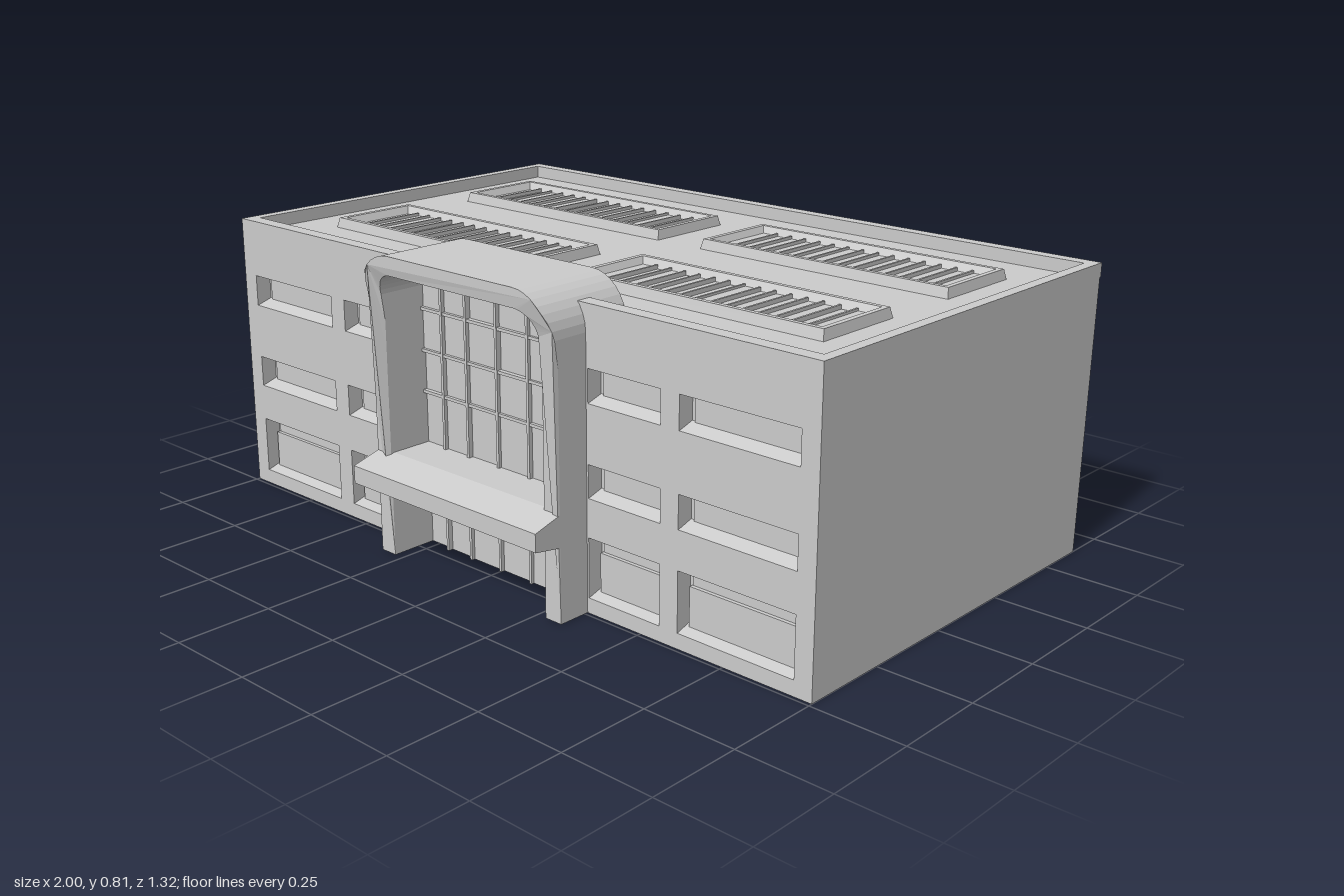
import * as THREE from 'three';

const grey = new THREE.MeshStandardMaterial({ color: 0xcccccc, flatShading: true });

function mesh(name, geometry, parent) {
  const m = new THREE.Mesh(geometry, grey);
  m.name = name;
  parent.add(m);
  return m;
}

// Box given by its limits on each axis
function box(name, x0, x1, y0, y1, z0, z1, parent) {
  const g = new THREE.BoxGeometry(x1 - x0, y1 - y0, z1 - z0);
  g.translate((x0 + x1) / 2, (y0 + y1) / 2, (z0 + z1) / 2);
  return mesh(name, g, parent);
}

function rect(x0, x1, y0, y1, Type = THREE.Shape) {
  return new Type([[x0, y0], [x1, y0], [x1, y1], [x0, y1]].map(p => new THREE.Vector2(...p)));
}

function extrude(shape, depth, z = 0) {
  const g = new THREE.ExtrudeGeometry(shape, { depth, bevelEnabled: false, curveSegments: 8 });
  return g.translate(0, 0, z);
}

// Extrudes a (z, y) profile along x
function alongX(points, x0, x1) {
  const s = new THREE.Shape(points.map(([z, y]) => new THREE.Vector2(-z, y)));
  return extrude(s, x1 - x0).rotateY(Math.PI / 2).translate(x0, 0, 0);
}

// Outline of the entrance arch: straight legs in short steps, rounded top corners
function archPoints(w, top, r, bottom) {
  const right = [];
  for (let i = 0; i <= 10; i++) right.push([w, bottom + (top - r - bottom) * i / 10]);
  for (let i = 1; i <= 8; i++) {
    const a = i / 8 * Math.PI / 2;
    right.push([w - r + r * Math.cos(a), top - r + r * Math.sin(a)]);
  }
  const left = right.map(([x, y]) => [-x, y]).reverse();
  return [...right, ...left].map(p => new THREE.Vector2(...p));
}

// Rectangular ring with stepped, sloping sides; rings are [xHalf, zHalf, y]
function ringLoft(rings) {
  const pos = [], index = [];
  for (const [x, z, y] of rings) pos.push(-x, y, z, x, y, z, x, y, -z, -x, y, -z);
  for (let i = 0; i < rings.length - 1; i++) {
    for (let j = 0; j < 4; j++) {
      const a = i * 4 + j, b = i * 4 + (j + 1) % 4;
      index.push(a, b, b + 4, a, b + 4, a + 4);
    }
  }
  const g = new THREE.BufferGeometry();
  g.setAttribute('position', new THREE.Float32BufferAttribute(pos, 3));
  g.setIndex(index);
  const flat = g.toNonIndexed();
  flat.computeVertexNormals();
  return flat;
}

export function createModel() {
  const model = new THREE.Group();
  let seed = 7;
  const rand = () => (seed = (seed * 16807) % 2147483647) / 2147483647;

  // Main block, its back wall leaning out slightly towards the top
  const body = box('mainBlock', -1, 1, 0, 0.735, -0.655, 0.445, model);
  const bp = body.geometry.attributes.position;
  for (let i = 0; i < bp.count; i++) {
    if (bp.getZ(i) < 0 && bp.getY(i) < 0.1) bp.setZ(i, -0.637);
  }
  body.geometry.computeVertexNormals();

  // Parapet around the roof
  const parapet = rect(-1, 1, -0.49, 0.66);
  parapet.holes.push(rect(-0.97, 0.97, -0.45, 0.625, THREE.Path));
  mesh('parapet', extrude(parapet, 0.036).rotateX(-Math.PI / 2).translate(0, 0.734, 0), model);

  // Front wings with three rows of recessed windows
  const columns = [[0.335, 0.56], [0.615, 0.95]];
  const rows = [[0.04, 0.195], [0.295, 0.38], [0.53, 0.615]];
  for (const side of [-1, 1]) {
    const span = (a, b) => side > 0 ? [a, b] : [-b, -a];
    const wing = new THREE.Group();
    wing.name = side > 0 ? 'leftWing' : 'rightWing';
    model.add(wing);
    const wall = rect(...span(0.3, 1), 0, 0.735);
    for (const c of columns) {
      const [x0, x1] = span(...c);
      rows.forEach(([y0, y1], r) => {
        wall.holes.push(rect(x0, x1, y0, y1, THREE.Path));
        mesh('windowSill', alongX([[0.444, y0], [0.489, y0], [0.444, y0 + 0.014]], x0, x1), wing);
        box('windowPane', x0 + 0.012, x1 - 0.012, y0 + 0.012, y1 - 0.008, 0.44, 0.45, wing);
        if (r === 0) box('lowerPanel', x0 + 0.01, x1 - 0.01, y0 + 0.008, 0.15, 0.44, 0.46, wing);
      });
    }
    mesh('windowWall', extrude(wall, 0.046, 0.444), wing);
  }

  // Entrance portal: arch whose front edge flares forward at the top
  const portal = new THREE.Group();
  portal.name = 'entrancePortal';
  model.add(portal);
  const outer = archPoints(0.33, 0.81, 0.11, 0);
  const inner = archPoints(0.278, 0.76, 0.06, 0);
  const arch = extrude(new THREE.Shape([...outer, ...inner.reverse()]), 0.14, 0.44);
  const ap = arch.attributes.position;
  for (let i = 0; i < ap.count; i++) {
    if (ap.getZ(i) < 0.5) continue;
    const t = THREE.MathUtils.clamp((ap.getY(i) - 0.62) / 0.15, 0, 1);
    ap.setZ(i, 0.58 + 0.035 * t * t);
  }
  arch.computeVertexNormals();
  mesh('arch', arch, portal);
  mesh('roofHood', extrude(new THREE.Shape(archPoints(0.33, 0.81, 0.11, 0.65)), 0.095, 0.355), portal);

  // Entrance canopy
  mesh('canopy', alongX([[0.45, 0.19], [0.58, 0.195], [0.66, 0.208], [0.66, 0.255],
    [0.6, 0.272], [0.57, 0.28], [0.45, 0.28]], -0.33, 0.33), portal);

  // Glazing: uneven panes with thin mullions between them
  const xs = [-0.278, -0.2, -0.11, 0, 0.11, 0.2, 0.278];
  const ys = [0, 0.2, 0.28, 0.42, 0.53, 0.64, 0.765];
  for (let i = 0; i < 6; i++) {
    for (let j = 0; j < 6; j++) {
      box('glassPane', xs[i], xs[i + 1], ys[j], ys[j + 1], 0.44, 0.452 + rand() * 0.008, portal);
    }
  }
  for (const x of xs.slice(1, -1)) box('mullion', x - 0.004, x + 0.004, 0, 0.765, 0.44, 0.468, portal);
  for (const y of ys.slice(3, -1)) box('transom', -0.278, 0.278, y - 0.004, y + 0.004, 0.44, 0.466, portal);

  // Four roof skylights: sloped curb, sunken glazing and irregular ribs
  for (const x of [-0.46, 0.46]) {
    for (const z of [-0.34, 0.15]) {
      const light = new THREE.Group();
      light.name = 'skylight';
      light.position.set(x, 0, z);
      model.add(light);
      mesh('curb', ringLoft([[0.385, 0.132, 0.734], [0.38, 0.125, 0.762], [0.366, 0.112, 0.762],
        [0.355, 0.1, 0.74]]), light);
      const n = 15;
      for (let i = 0; i < n; i++) {
        const x0 = -0.355 + 0.71 * i / n;
        box('roofPane', x0, x0 + 0.71 / n, 0.73, 0.739 + rand() * 0.006, -0.1, 0.1, light);
        if (i) box('rib', x0 - 0.003, x0 + 0.003, 0.73, 0.751, -0.1, 0.1, light);
      }
    }
  }
  return model;
}
